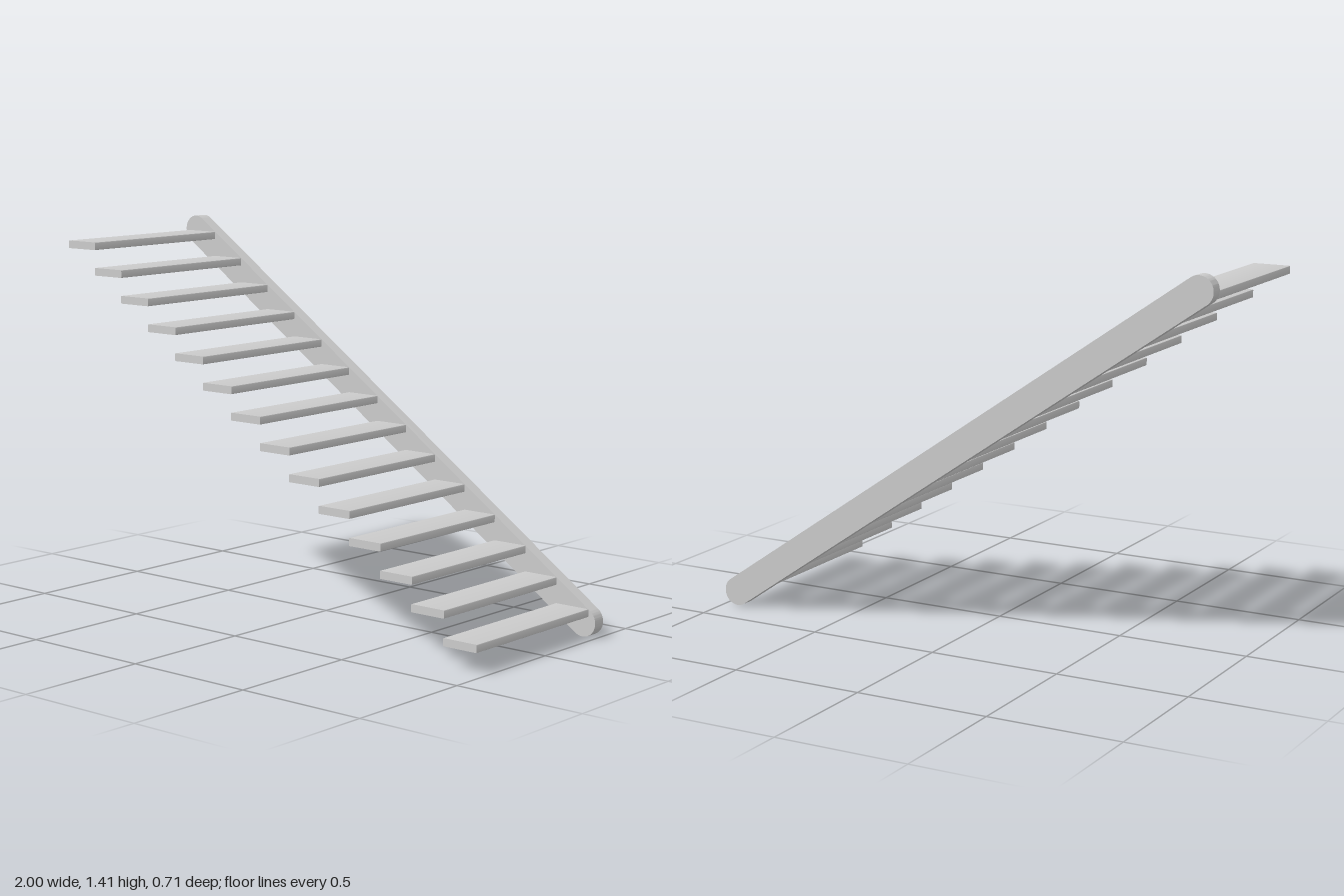
import * as THREE from 'three';
import { toCreasedNormals } from 'three/addons/utils/BufferGeometryUtils.js';

const material = new THREE.MeshStandardMaterial({ color: 0xcccccc });

// Extrude a shape from z0 to z1, keeping hard edges sharp.
function extrude(shape, z0, z1, curveSegments) {
  const geometry = new THREE.ExtrudeGeometry(shape, { depth: z1 - z0, bevelEnabled: false, curveSegments });
  geometry.translate(0, 0, z0);
  return toCreasedNormals(geometry, 0.6);
}

// Bar with semicircular ends, centred on the origin.
function capsuleShape(length, radius) {
  const h = length / 2;
  const shape = new THREE.Shape();
  shape.absarc(h, 0, radius, -Math.PI / 2, Math.PI / 2, false);
  shape.absarc(-h, 0, radius, Math.PI / 2, Math.PI * 1.5, false);
  return shape;
}

// Tread cross-section with slightly eased corners.
function treadShape(width, height, r) {
  const w = width / 2 - r, h = height / 2 - r;
  const shape = new THREE.Shape();
  shape.absarc(w, -h, r, -Math.PI / 2, 0, false);
  shape.absarc(w, h, r, 0, Math.PI / 2, false);
  shape.absarc(-w, h, r, Math.PI / 2, Math.PI, false);
  shape.absarc(-w, -h, r, Math.PI, Math.PI * 1.5, false);
  return shape;
}

export function createModel() {
  const model = new THREE.Group();
  model.name = 'staircase';
  const back = -0.354, wallFace = -0.304, front = 0.354;

  // Sloping stringer
  const radius = 0.054;
  const top = new THREE.Vector2(-0.946, 1.357);
  const bottom = new THREE.Vector2(0.946, radius);
  const run = bottom.clone().sub(top);
  const stringer = new THREE.Mesh(extrude(capsuleShape(run.length(), radius), back, wallFace, 24), material);
  stringer.name = 'stringer';
  stringer.position.set((top.x + bottom.x) / 2, (top.y + bottom.y) / 2, 0);
  stringer.rotation.z = run.angle();
  model.add(stringer);

  // Cantilevered treads
  const count = 14;
  const treadGeometry = extrude(treadShape(0.142, 0.029, 0.003), wallFace, front, 4);
  for (let i = 0; i < count; i++) {
    const t = i / (count - 1);
    const tread = new THREE.Mesh(treadGeometry, material);
    tread.name = `tread${i + 1}`;
    tread.position.set(THREE.MathUtils.lerp(0.899, -0.914, t), THREE.MathUtils.lerp(0.0895, 1.337, t), 0);
    model.add(tread);
  }
  return model;
}
